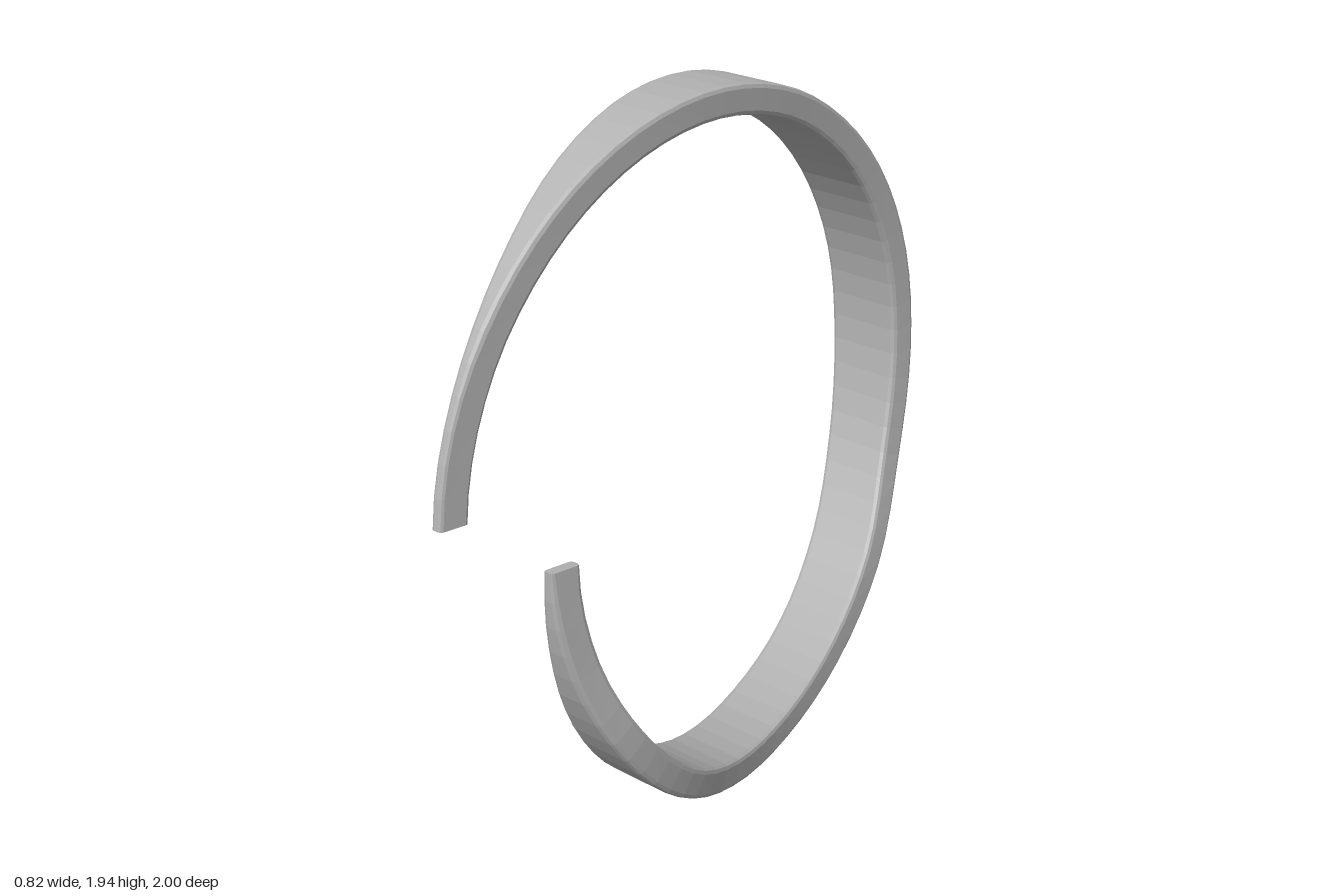
import * as THREE from 'three';

// Stations every 20 degrees, from the upper tip over the top and round the back
// to the lower tip: [left edge x, right edge x, outer radius]
const STATIONS = [
  [-0.015, 0.018, 1.0], [-0.035, 0, 0.99], [-0.09, -0.022, 0.978], [-0.175, -0.048, 0.973],
  [-0.255, -0.075, 0.975], [-0.325, -0.11, 0.978], [-0.375, -0.145, 0.982], [-0.405, -0.165, 0.986],
  [-0.412, -0.172, 0.987], [-0.397, -0.16, 0.986], [-0.335, -0.115, 0.985], [-0.23, -0.01, 0.98],
  [-0.125, 0.085, 0.975], [-0.03, 0.18, 0.971], [0.075, 0.285, 0.958], [0.175, 0.38, 0.935],
  [0.245, 0.41, 0.917], [0.298, 0.382, 0.915], [0.328, 0.357, 0.925],
];
const START = 5, SWEEP = 360, SEGMENTS = 72;
const THICKNESS = 0.09, CENTRE_Y = 0.976, TILT = 0.12;

// Rounded rectangle, counter-clockwise, as [x, radius] pairs
function section(left, right, outer) {
  const inner = outer - THICKNESS;
  const bevel = Math.min(0.014, (right - left) * 0.3);
  const corners = [
    [right - bevel, inner + bevel, -90], [right - bevel, outer - bevel, 0],
    [left + bevel, outer - bevel, 90], [left + bevel, inner + bevel, 180],
  ];
  return corners.flatMap(([x, r, from]) => [0, 45, 90].map((d) => {
    const a = THREE.MathUtils.degToRad(from + d);
    return [x + bevel * Math.cos(a), r + bevel * Math.sin(a)];
  }));
}

// Sweep the section round the ring, leaning it sideways by the tilt
function bandGeometry() {
  const curve = new THREE.CatmullRomCurve3(
    STATIONS.map((s) => new THREE.Vector3(...s)), false, 'catmullrom', 0.5);
  const positions = [], index = [];
  let n = 0;
  for (let i = 0; i <= SEGMENTS; i++) {
    const t = i / SEGMENTS;
    const angle = THREE.MathUtils.degToRad(START + SWEEP * t);
    const p = curve.getPoint(t);
    const ring = section(p.x, p.y, p.z);
    const middle = (p.x + p.y) / 2;
    n = ring.length;
    for (const [x, r] of ring) {
      positions.push(x, CENTRE_Y + r * Math.sin(angle), r * Math.cos(angle) - TILT * (x - middle));
    }
  }
  for (let i = 0; i < SEGMENTS; i++) {
    for (let j = 0; j < n; j++) {
      const a = i * n + j, b = i * n + (j + 1) % n;
      index.push(a, a + n, b, b, a + n, b + n);
    }
  }
  // Close both tips
  const last = SEGMENTS * n;
  for (let j = 1; j < n - 1; j++) {
    index.push(0, j, j + 1, last, last + j + 1, last + j);
  }
  const geometry = new THREE.BufferGeometry();
  geometry.setAttribute('position', new THREE.Float32BufferAttribute(positions, 3));
  geometry.setIndex(index);
  // Separate the faces so each keeps its own flat normal
  const faceted = geometry.toNonIndexed();
  faceted.computeVertexNormals();
  return faceted;
}

export function createModel() {
  const metal = new THREE.MeshStandardMaterial({ color: 0xb3b3b3 });
  metal.name = 'plain grey metal';
  const band = new THREE.Mesh(bandGeometry(), metal);
  band.name = 'openRingBand';
  const group = new THREE.Group();
  group.name = 'openRing';
  group.add(band);
  return group;
}
